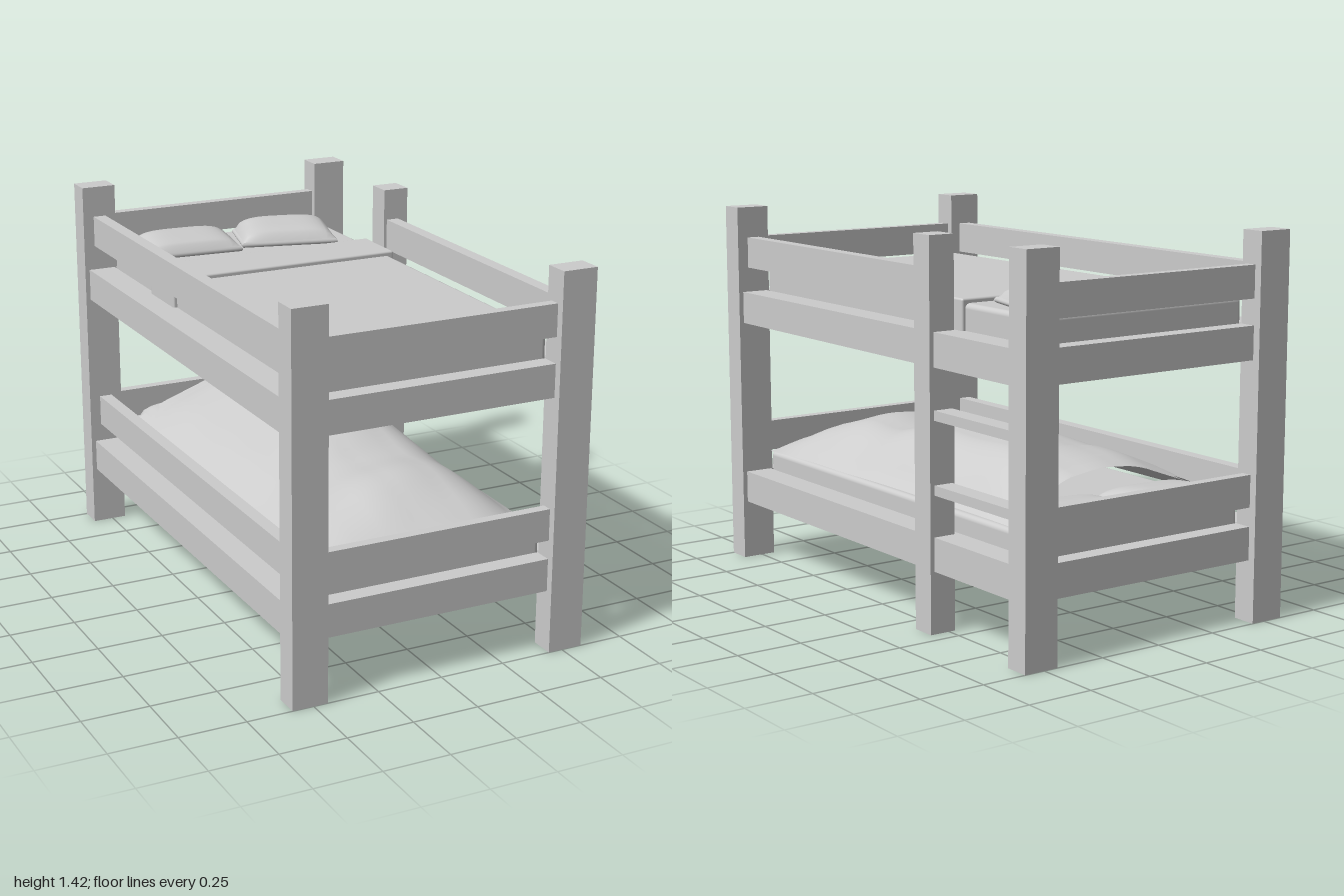
import * as THREE from 'three';
import { RoundedBoxGeometry } from 'three/addons/geometries/RoundedBoxGeometry.js';

const material = new THREE.MeshStandardMaterial({ color: 0xcccccc });
const clothMaterial = new THREE.MeshStandardMaterial({ color: 0xcccccc, side: THREE.DoubleSide });

// smooth interpolation through [position, value] pairs
function sample(points, t) {
  if (t <= points[0][0]) return points[0][1];
  for (let i = 1; i < points.length; i++) {
    const [a, va] = points[i - 1], [b, vb] = points[i];
    if (t <= b) return va + (vb - va) * (t - a) / (b - a);
  }
  return points[points.length - 1][1];
}

// height of the sleeping shape along the bed, and its profile across
const ridge = [[-0.79, 0.6], [-0.7, 0.63], [-0.55, 0.65], [-0.35, 0.655], [-0.15, 0.65], [0.03, 0.65],
  [0.2, 0.625], [0.32, 0.585], [0.53, 0.605], [0.65, 0.575], [0.75, 0.54], [0.89, 0.465]];
const across = [[-0.46, 0], [-0.3, 0.48], [-0.07, 0.92], [0.1, 1], [0.27, 0.9], [0.38, 0.48], [0.46, 0]];
const BASE = 0.425;
const coverHeight = (x, z) => BASE + (sample(ridge, z) - BASE) * sample(across, x);

export function createModel() {
  const model = new THREE.Group();

  function add(name, geometry, x = 0, y = 0, z = 0, mat = material) {
    const mesh = new THREE.Mesh(geometry, mat);
    mesh.name = name;
    mesh.position.set(x, y, z);
    model.add(mesh);
    return mesh;
  }
  // box given by its limits on each axis
  function box(name, [x0, x1], [y0, y1], [z0, z1], radius = 0) {
    const size = [x1 - x0, y1 - y0, z1 - z0];
    const geometry = radius ? new RoundedBoxGeometry(...size, 3, radius) : new THREE.BoxGeometry(...size);
    return add(name, geometry, (x0 + x1) / 2, (y0 + y1) / 2, (z0 + z1) / 2);
  }

  // corner posts
  for (const sx of [-1, 1]) for (const sz of [-1, 1]) {
    add('cornerPost', new THREE.BoxGeometry(0.135, 1.42, 0.095), sx * 0.5125, 0.71, sz * 0.9525);
  }

  // two bunks: frame rails, guard rails, base and mattress
  for (const [name, y] of [['lower', 0.23], ['upper', 0.96]]) {
    const frameY = [y, y + 0.124], guardY = [y + 0.195, y + 0.34 - 0.025];
    if (name === 'upper') guardY[0] = 1.18, guardY[1] = 1.3;
    box(name + 'LeftRail', [0.455, 0.562], frameY, [-0.91, 0.91]);
    box(name + 'RightRail', [-0.562, -0.455], frameY, [-0.91, 0.91]);
    box(name + 'RightGuard', [-0.537, -0.487], guardY, [-0.91, 0.91]);
    for (const s of [-1, 1]) {
      add(name + 'EndRail', new THREE.BoxGeometry(0.9, 0.124, 0.07), 0, y + 0.062, s * 0.935);
      add(name + 'EndGuard', new THREE.BoxGeometry(0.9, guardY[1] - guardY[0], 0.04),
        0, (guardY[0] + guardY[1]) / 2, s * 0.95);
    }
    box(name + 'Base', [-0.456, 0.456], [y, y + 0.06], [-0.905, 0.905]);
    box(name + 'Mattress', [-0.455, 0.455], [y + 0.06, name === 'upper' ? 1.18 : 0.43], [-0.895, 0.895], 0.02);
  }
  box('upperLeftGuard', [0.487, 0.537], [1.18, 1.3], [-0.35, 0.91]);

  // ladder post and steps
  box('ladderPost', [0.475, 0.578], [0, 1.42], [-0.44, -0.343]);
  for (const y of [0.505, 0.772]) {
    box('ladderStep', [0.485, 0.56], [y, y + 0.036], [-0.91, -0.43]);
  }

  // turned-down sheet on the upper bunk
  box('upperSheetFold', [-0.47, 0.468], [1.07, 1.197], [-0.48, -0.25], 0.008);

  // pillow: rounded slab, puffed in the middle and thicker toward the head end
  function pillow(name, w, d, x, y, z, turn, h = 0.08) {
    const geometry = new THREE.BoxGeometry(w, 1, d, 20, 4, 16);
    const p = geometry.attributes.position;
    for (let i = 0; i < p.count; i++) {
      const u = p.getX(i) / (w / 2), v = p.getZ(i) / (d / 2);
      const puff = Math.sqrt(Math.max(0, (1 - u ** 4) * (1 - v ** 4)));
      const top = 0.022 + (h - 0.022) * puff * (0.8 - 0.2 * v);
      const t = p.getY(i) + 0.5;
      const tuck = 1 - 0.04 * (2 * t - 1) ** 2;
      p.setXYZ(i, p.getX(i) * tuck, t * top, p.getZ(i) * tuck);
    }
    geometry.computeVertexNormals();
    add(name, geometry, x, y, z).rotation.y = turn;
  }
  pillow('upperPillow', 0.395, 0.245, -0.225, 1.178, -0.705, -0.075);
  pillow('upperPillow', 0.39, 0.25, 0.2, 1.178, -0.685, -0.25, 0.09);
  pillow('lowerPillow', 0.4, 0.25, -0.2, 0.428, -0.74, -0.05, 0.09);
  pillow('lowerPillow', 0.38, 0.25, 0.2, 0.428, -0.74, -0.1, 0.09);

  // cloth draped over the sleeping shape; head edge may slant from side to side
  function drape(name, zHead, zFoot, lift, slant) {
    const geometry = new THREE.PlaneGeometry(0.92, 1, 48, 60).rotateX(-Math.PI / 2);
    const p = geometry.attributes.position;
    for (let i = 0; i < p.count; i++) {
      const x = p.getX(i), t = p.getZ(i) + 0.5;
      const head = zHead + slant * x;
      const z = head + (zFoot - head) * t;
      let y = 0;
      // average neighbours to soften the folds
      for (const dx of [-0.04, 0, 0.04]) for (const dz of [-0.05, 0, 0.05]) y += coverHeight(x + dx, z + dz) / 9;
      const wrinkle = 0.004 * Math.sin(9 * x + 14 * z) * sample(across, x);
      p.setXYZ(i, x, y + lift + wrinkle, z);
    }
    geometry.computeVertexNormals();
    add(name, geometry, 0, 0, 0, clothMaterial);
  }
  drape('lowerBlanket', -0.79, 0.89, 0, 0);
  drape('lowerSheetFold', -0.8, -0.56, 0.006, 0.04);

  return model;
}
